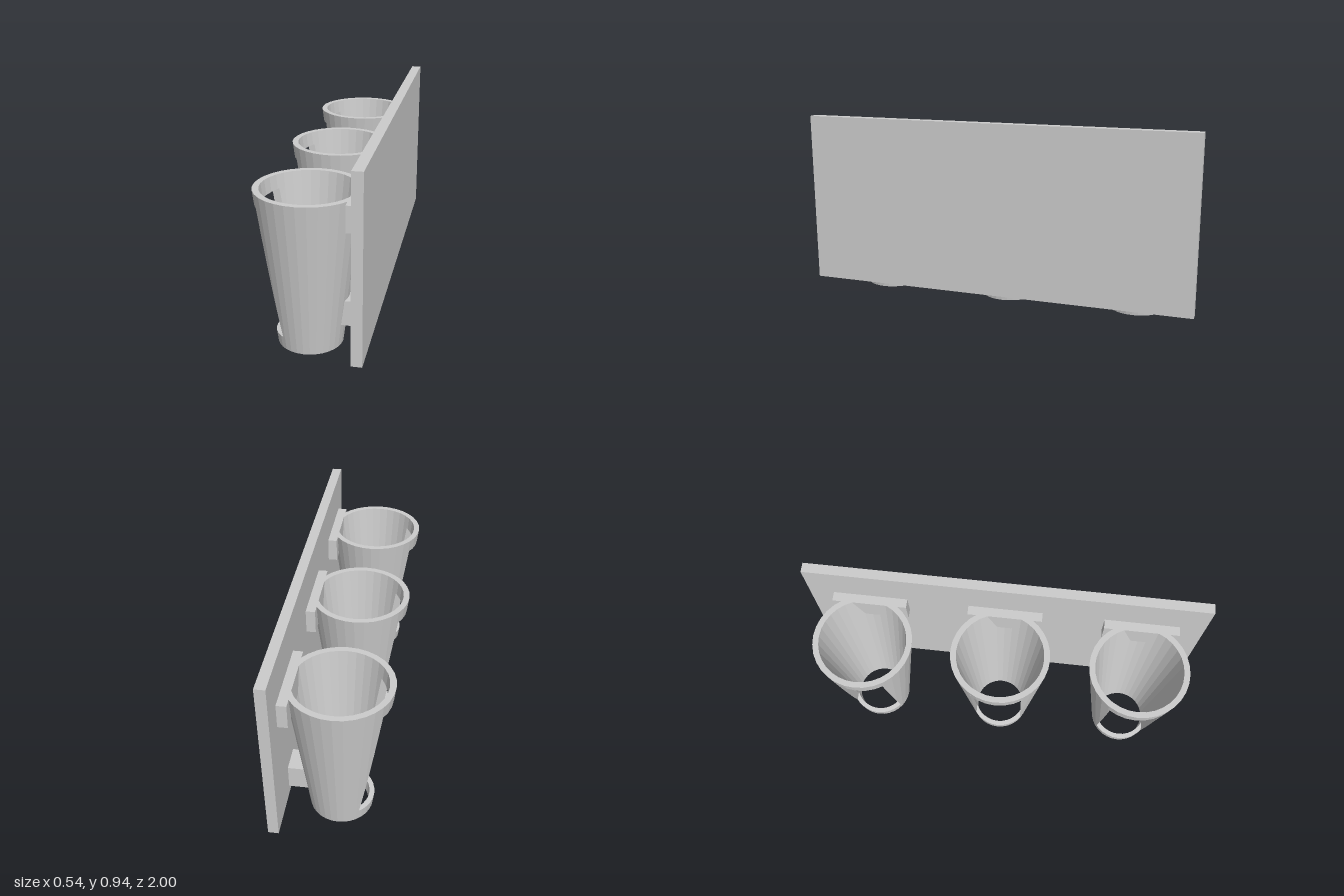
import * as THREE from 'three';

const material = new THREE.MeshStandardMaterial({ color: 0xcccccc, flatShading: true });
const SIDES = 32, HEIGHT = 0.75, SLOT = 0.125, TILT = 0.127;
const OUTER = [0.152, 0.247], INNER = [0.128, 0.218]; // bottom and top radii

// Point on a cone wall where it meets the plane y = base + tilt * x.
// Slotted rows keep clear of the opening |z| < SLOT on the -x side.
function wallPoint(radii, angle, { base, tilt, slotted }) {
  let x = 0, y = base, z = 0;
  for (let k = 0; k < 8; k++) {
    const r = THREE.MathUtils.lerp(radii[0], radii[1], y / HEIGHT);
    const edge = slotted ? Math.asin(Math.min(1, SLOT / r)) : 0;
    const a = THREE.MathUtils.clamp(angle, edge, 2 * Math.PI - edge);
    x = -r * Math.cos(a);
    z = r * Math.sin(a);
    y = base + tilt * x;
  }
  return [x, y, z];
}

// Hollow wall lofted through rows, with caps and, for slotted rows, side faces.
function wallGeometry(rows) {
  const pos = [];
  const quad = (a, b, c, d) => pos.push(...a, ...b, ...c, ...a, ...c, ...d);
  const ring = (radii, row) => Array.from({ length: SIDES + 1 },
    (_, i) => wallPoint(radii, (i / SIDES) * 2 * Math.PI, row));
  const out = rows.map((row) => ring(OUTER, row));
  const inn = rows.map((row) => ring(INNER, row));
  const last = rows.length - 1;
  for (let i = 0; i < SIDES; i++) {
    const j = i + 1;
    for (let r = 0; r < last; r++) {
      quad(out[r][i], out[r][j], out[r + 1][j], out[r + 1][i]);
      quad(inn[r][j], inn[r][i], inn[r + 1][i], inn[r + 1][j]);
    }
    quad(out[last][i], out[last][j], inn[last][j], inn[last][i]);
    quad(inn[0][i], inn[0][j], out[0][j], out[0][i]);
  }
  if (rows[0].slotted) {
    for (let r = 0; r < last; r++) {
      quad(inn[r][0], out[r][0], out[r + 1][0], inn[r + 1][0]);
      quad(out[r][SIDES], inn[r][SIDES], inn[r + 1][SIDES], out[r + 1][SIDES]);
    }
  }
  const geo = new THREE.BufferGeometry();
  geo.setAttribute('position', new THREE.Float32BufferAttribute(pos, 3));
  geo.computeVertexNormals();
  return geo;
}

function addMesh(parent, name, geometry, x = 0, y = 0, z = 0) {
  const mesh = new THREE.Mesh(geometry, material);
  mesh.name = name;
  mesh.position.set(x, y, z);
  parent.add(mesh);
}

function boxBetween(parent, name, x0, x1, y0, y1, halfZ) {
  addMesh(parent, name, new THREE.BoxGeometry(x1 - x0, y1 - y0, 2 * halfZ), (x0 + x1) / 2, (y0 + y1) / 2);
}

export function createModel() {
  const model = new THREE.Group();
  model.name = 'wallCupHolder';

  // Back plate
  boxBetween(model, 'backPlate', 0.222, 0.272, 0.072, 0.945, 1);

  // Cup pieces: bottom rim, slotted body, top rim
  const slotBottom = 0.075, slotTop = 0.705, steps = 14;
  const flat = (base) => ({ base, tilt: 0, slotted: false });
  const cut = (base, slotted) => ({ base, tilt: TILT, slotted });
  const bottomRim = wallGeometry([flat(0), cut(slotBottom, false)]);
  const body = wallGeometry(Array.from({ length: steps + 1 },
    (_, i) => cut(slotBottom + ((slotTop - slotBottom) * i) / steps, true)));
  const topRim = wallGeometry([cut(slotTop, false), flat(HEIGHT)]);

  // Lower bracket whose inner end follows the slope of the cup
  const halfWidth = 0.0625;
  const bracketShape = new THREE.Shape([[0.127, 0.117], [0.222, 0.117], [0.222, 0.24], [0.142, 0.24]]
    .map(([x, y]) => new THREE.Vector2(x, y)));
  const lowerBracket = new THREE.ExtrudeGeometry(bracketShape, { depth: 2 * halfWidth, bevelEnabled: false });
  lowerBracket.translate(0, 0, -halfWidth);

  // Three holders in a row along the plate
  [-0.687, 0, 0.687].forEach((z) => {
    const holder = new THREE.Group();
    holder.name = 'cupHolder';
    holder.position.z = z;
    addMesh(holder, 'cupBottomRim', bottomRim, -0.025);
    addMesh(holder, 'cupBody', body, -0.025);
    addMesh(holder, 'cupTopRim', topRim, -0.025);
    boxBetween(holder, 'upperBracket', 0.175, 0.222, 0.627, 0.75, 0.188);
    addMesh(holder, 'lowerBracket', lowerBracket);
    model.add(holder);
  });
  return model;
}
